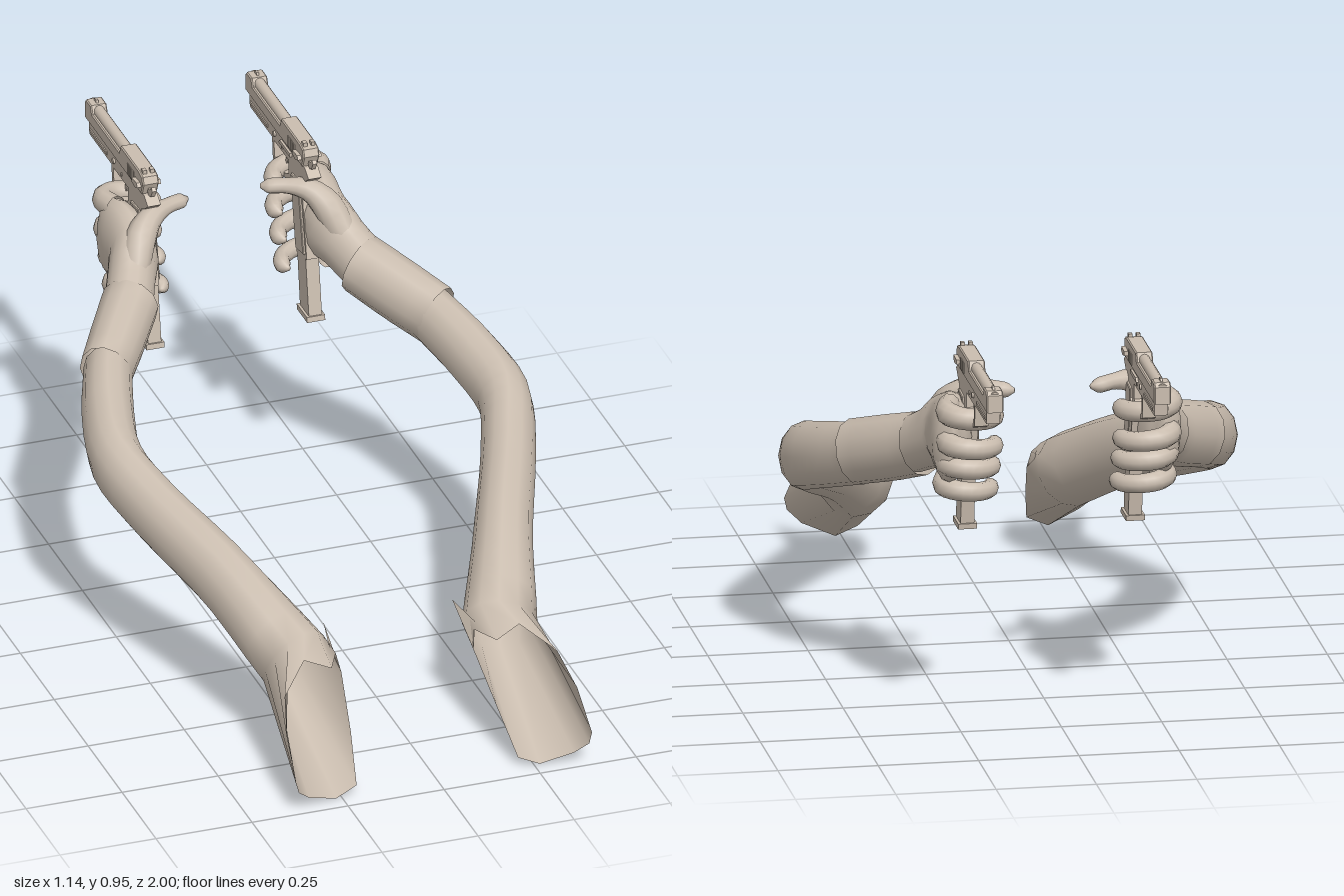
import * as THREE from 'three';

const V = (x, y, z) => new THREE.Vector3(x, y, z);
const GUN_X = 0.209;

// Smooth tube through rings [x, y, z, horizontalRadius, verticalRadius]
function loft(rings, samples, seg, { cap = false, rim = null } = {}) {
  const path = new THREE.CatmullRomCurve3(rings.map(r => V(r[0], r[1], r[2])), false, 'centripetal');
  const radii = new THREE.CatmullRomCurve3(rings.map(r => V(r[3], r[4], 0)), false, 'catmullrom', 0.3);
  const pos = [], idx = [];
  for (let i = 0; i <= samples; i++) {
    const k = i / samples, c = path.getPoint(k), t = path.getTangent(k), rad = radii.getPoint(k);
    const r = V(0, 1, 0).cross(t).normalize(), u = t.clone().cross(r);
    for (let j = 0; j < seg; j++) {
      const a = j / seg * Math.PI * 2;
      const p = c.clone().addScaledVector(r, Math.cos(a) * rad.x).addScaledVector(u, Math.sin(a) * rad.y);
      pos.push(p.x, p.y, p.z);
    }
  }
  let rows = samples;
  if (rim) { rim.forEach(p => pos.push(...p)); rows++; }
  for (let i = 0; i < rows; i++) for (let j = 0; j < seg; j++) {
    const a = i * seg + j, b = i * seg + (j + 1) % seg;
    idx.push(a, b, a + seg, b, b + seg, a + seg);
  }
  if (cap) {
    const n = pos.length / 3, e = rings[rings.length - 1];
    pos.push(e[0], e[1], e[2]);
    for (let j = 0; j < seg; j++) idx.push(rows * seg + j, rows * seg + (j + 1) % seg, n);
  }
  const g = new THREE.BufferGeometry();
  g.setAttribute('position', new THREE.Float32BufferAttribute(pos, 3));
  g.setIndex(idx);
  g.computeVertexNormals();
  return g;
}

// Side profile in (forward, up), extruded across the width of the pistol
function plate(points, width, { hole = null, bevel = 0, x = 0 } = {}) {
  const toV = p => p.map(q => new THREE.Vector2(q[0], q[1]));
  const shape = new THREE.Shape(toV(points));
  if (hole) shape.holes.push(new THREE.Path(toV(hole)));
  const depth = width - 2 * bevel;
  const g = new THREE.ExtrudeGeometry(shape, {
    depth, bevelEnabled: bevel > 0, bevelSize: bevel, bevelThickness: bevel, bevelOffset: -bevel, bevelSegments: 1
  });
  return g.translate(0, 0, -depth / 2).rotateY(Math.PI / 2).translate(GUN_X + x, 0, 0);
}

const block = (w, h, d, x, y, f) => new THREE.BoxGeometry(w, h, d).translate(GUN_X + x, y, -f);
const rod = (r, len, y, f) =>
  new THREE.CylinderGeometry(r, r, len, 14).rotateX(Math.PI / 2).translate(GUN_X, y, -f);
const pin = (r, len, y, f) =>
  new THREE.CylinderGeometry(r, r, len, 12).rotateZ(Math.PI / 2).translate(GUN_X, y, -f);

function armParts() {
  const parts = [];
  // Sleeve, cut open obliquely at the shoulder
  const rim = [
    [0.385, 0.09, 1], [0.378, 0.17, 0.91], [0.355, 0.235, 0.83], [0.28, 0.288, 0.76],
    [0.215, 0.265, 0.78], [0.18, 0.265, 0.71], [0.172, 0.22, 0.73], [0.19, 0.12, 0.85],
    [0.21, 0.025, 0.95], [0.265, 0, 0.955], [0.345, 0.03, 0.98], [0.378, 0.06, 1]
  ];
  parts.push(['sleeve', loft([
    [0.42, 0.588, -0.29, 0.06, 0.078], [0.475, 0.54, -0.13, 0.065, 0.082],
    [0.502, 0.495, 0.02, 0.066, 0.085], [0.46, 0.44, 0.17, 0.068, 0.085],
    [0.362, 0.352, 0.41, 0.073, 0.09], [0.268, 0.235, 0.65, 0.093, 0.094]
  ], 18, 12, { rim })]);
  const flap = new THREE.BufferGeometry().setFromPoints([V(0.172, 0.22, 0.73), V(0.19, 0.275, 0.69), V(0.168, 0.285, 0.585)]);
  flap.computeVertexNormals();
  parts.push(['sleeveFlap', flap]);
  parts.push(['cuff', loft([
    [0.43, 0.588, -0.275, 0.066, 0.082], [0.365, 0.622, -0.37, 0.07, 0.083], [0.3, 0.658, -0.465, 0.072, 0.08]
  ], 5, 12)]);

  // Hand: palm, thumb and four fingers curled round the grip
  parts.push(['palm', loft([
    [0.315, 0.65, -0.44, 0.062, 0.072], [0.278, 0.69, -0.52, 0.06, 0.076], [0.252, 0.72, -0.58, 0.062, 0.098],
    [0.258, 0.727, -0.64, 0.054, 0.112], [0.268, 0.722, -0.69, 0.042, 0.105], [0.265, 0.72, -0.725, 0.012, 0.07]
  ], 14, 16, { cap: true })]);
  parts.push(['thumb', loft([
    [0.275, 0.71, -0.5, 0.035, 0.04], [0.245, 0.785, -0.545, 0.04, 0.04], [0.205, 0.825, -0.575, 0.03, 0.03],
    [0.155, 0.833, -0.6, 0.021, 0.02], [0.115, 0.83, -0.618, 0.021, 0.019], [0.095, 0.83, -0.625, 0.006, 0.006]
  ], 14, 10, { cap: true })]);
  const fingers = [['indexFinger', 0.8, 0.757], ['middleFinger', 0.722, 0.752], ['ringFinger', 0.662, 0.722], ['littleFinger', 0.597, 0.695]];
  fingers.forEach(([name, y, f], i) => {
    const r = 0.028 - i * 0.001;
    parts.push([name, loft([
      [0.265, y + 0.012, -f + 0.09, r, r * 1.15], [0.279, y + 0.01, -f + 0.035, r, r * 1.1],
      [0.25, y + 0.005, -f, r * 0.95, r], [0.205, y, -f - 0.002, r * 0.9, r * 0.95],
      [0.168, y - 0.004, -f + 0.025, r * 0.85, r * 0.9], [0.158, y - 0.006, -f + 0.06, r * 0.8, r * 0.85],
      [0.165, y - 0.006, -f + 0.083, 0.006, 0.006]
    ], 18, 10, { cap: true })]);
  });

  // Pistol frame with trigger guard, grip and magazine
  parts.push(['frame', plate([
    [0.543, 0.872], [0.57, 0.852], [0.592, 0.842], [0.588, 0.8], [0.556, 0.64], [0.632, 0.625], [0.668, 0.8],
    [0.69, 0.8], [0.715, 0.789], [0.78, 0.787], [0.806, 0.797], [0.812, 0.853], [0.975, 0.853],
    [0.978, 0.889], [0.57, 0.889]
  ], 0.034, { hole: [[0.69, 0.812], [0.69, 0.85], [0.798, 0.85], [0.793, 0.805], [0.775, 0.798], [0.717, 0.8]] })]);
  parts.push(['dustCoverRail', block(0.04, 0.008, 0.13, 0, 0.868, 0.905)]);
  parts.push(['trigger', plate([[0.72, 0.853], [0.74, 0.853], [0.742, 0.825], [0.752, 0.808], [0.744, 0.806], [0.728, 0.826]], 0.012)]);
  for (const s of [-1, 1]) parts.push(['gripPanel', plate(
    [[0.602, 0.835], [0.66, 0.83], [0.655, 0.79], [0.624, 0.64], [0.566, 0.65], [0.597, 0.795]], 0.008, { x: s * 0.019, bevel: 0.002 })]);
  parts.push(['magazine', plate([[0.59, 0.8], [0.65, 0.8], [0.606, 0.488], [0.54, 0.488]], 0.034)]);
  parts.push(['magazineBase', plate([[0.536, 0.49], [0.612, 0.49], [0.61, 0.476], [0.534, 0.476]], 0.047)]);

  // Slide, open over the barrel
  parts.push(['slide', plate([
    [0.582, 0.888], [0.568, 0.92], [0.575, 0.938], [0.6, 0.944], [0.735, 0.944], [0.745, 0.922],
    [0.945, 0.922], [0.955, 0.942], [0.99, 0.942], [1, 0.932], [1, 0.888]
  ], 0.042, { bevel: 0.003 })]);
  parts.push(['barrel', rod(0.014, 0.27, 0.926, 0.862)]);
  parts.push(['recoilRod', rod(0.006, 0.02, 0.898, 0.99)]);
  parts.push(['frontSight', plate([[0.962, 0.94], [0.966, 0.949], [0.978, 0.949], [0.984, 0.94]], 0.006)]);
  for (const s of [-1, 1]) {
    parts.push(['rearSight', block(0.01, 0.01, 0.014, s * 0.01, 0.946, 0.592)]);
    parts.push(['safetyLever', plate([[0.582, 0.908], [0.588, 0.918], [0.625, 0.915], [0.625, 0.904], [0.6, 0.9]], 0.01, { x: s * 0.026 })]);
    for (let i = 0; i < 6; i++) parts.push(['slideSerration', block(0.003, 0.028, 0.004, s * 0.0215, 0.91, 0.635 + i * 0.009)]);
  }
  parts.push(['hammer', plate([[0.575, 0.885], [0.555, 0.892], [0.543, 0.912], [0.55, 0.92], [0.562, 0.908], [0.58, 0.905]], 0.011)]);
  parts.push(['slideStop', plate([[0.665, 0.872], [0.665, 0.882], [0.74, 0.882], [0.75, 0.872]], 0.006, { x: -0.02 })]);
  parts.push(['takedownPin', pin(0.007, 0.044, 0.873, 0.79)]);
  parts.push(['triggerPin', pin(0.005, 0.039, 0.864, 0.735)]);
  parts.push(['magazineRelease', pin(0.007, 0.044, 0.8, 0.658)]);
  return parts;
}

// Mirror a geometry across x = 0, keeping its faces outward
function mirrored(geo) {
  const g = geo.clone().scale(-1, 1, 1);
  const n = g.index ? g.index.count : g.attributes.position.count;
  const idx = [];
  for (let i = 0; i < n; i += 3) for (const k of [i, i + 2, i + 1]) idx.push(g.index ? g.index.getX(k) : k);
  g.setIndex(idx);
  return g;
}

export function createModel() {
  const model = new THREE.Group();
  model.name = 'armsWithPistols';
  const clay = new THREE.MeshStandardMaterial({ color: 0xcabdaf, side: THREE.DoubleSide });
  clay.name = 'warm beige';
  const left = new THREE.Group(), right = new THREE.Group();
  left.name = 'leftArm';
  right.name = 'rightArm';
  for (const [name, geo] of armParts()) {
    for (const [group, g] of [[left, geo], [right, mirrored(geo)]]) {
      const mesh = new THREE.Mesh(g, clay);
      mesh.name = name;
      group.add(mesh);
    }
  }
  model.add(left, right);
  return model;
}
